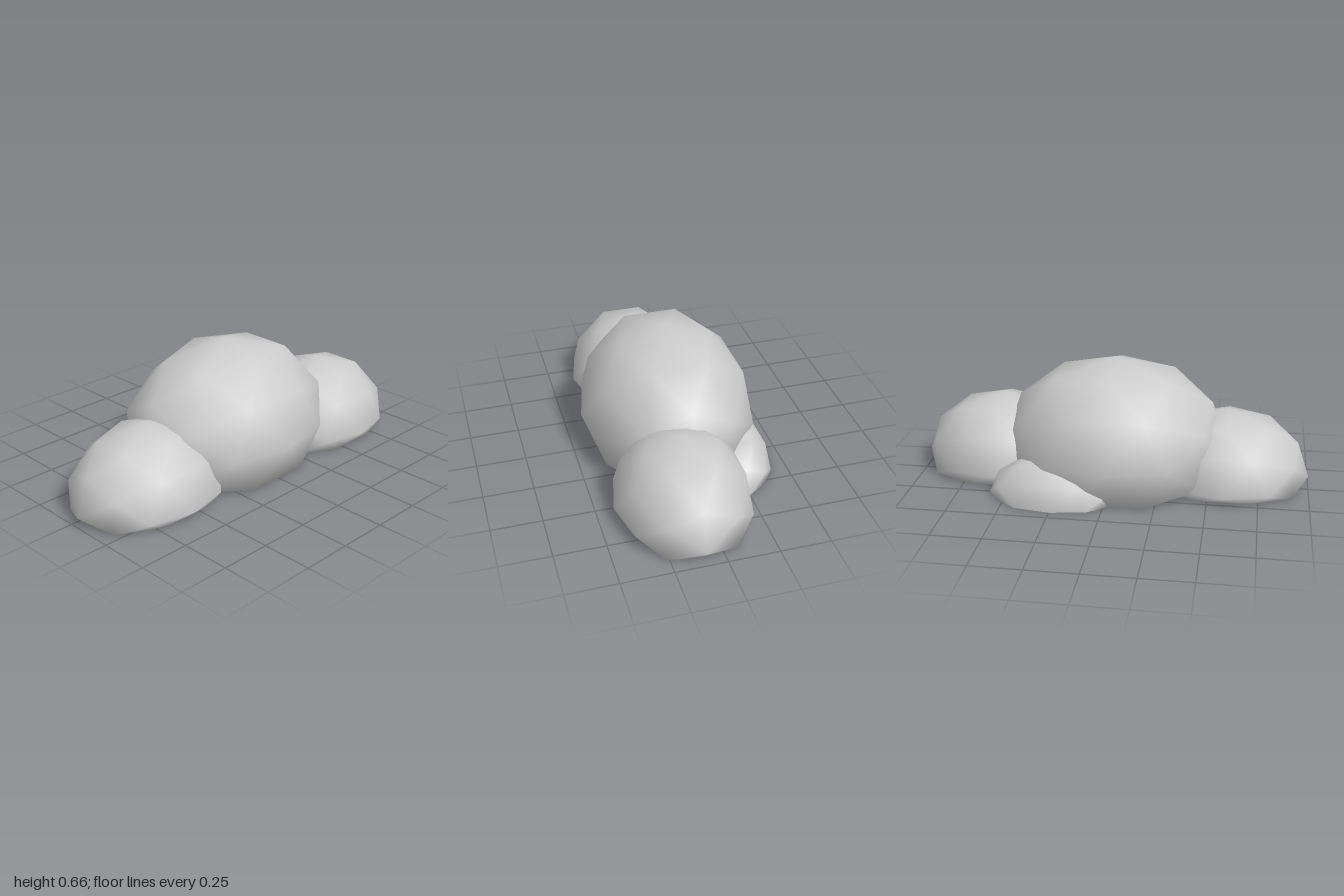
import * as THREE from 'three';
import { mergeVertices } from 'three/addons/utils/BufferGeometryUtils.js';

// Smooth low-poly boulder: a stretched icosphere whose underside is pressed flat on the ground
function boulder(name, [x, y, z], [rx, ry, rz], material) {
  let geometry = new THREE.IcosahedronGeometry(1, 1);
  geometry.deleteAttribute('uv');
  geometry.deleteAttribute('normal');
  geometry = mergeVertices(geometry, 1e-3);
  geometry.rotateY(Math.PI / 2);
  geometry.scale(rx, ry, rz);
  geometry.translate(x, y, z);

  const position = geometry.attributes.position;
  for (let i = 0; i < position.count; i++) {
    position.setY(i, Math.max(0, position.getY(i)));
  }
  geometry.computeVertexNormals();

  const mesh = new THREE.Mesh(geometry, material);
  mesh.name = name;
  return mesh;
}

export function createModel() {
  const group = new THREE.Group();
  group.name = 'boulderCluster';
  const stone = new THREE.MeshStandardMaterial({ color: 0xcccccc });

  // name, centre, radii
  const boulders = [
    ['mainBoulder', [-0.015, 0.2, 0.01], [0.575, 0.46, 0.44]],
    ['leftBoulder', [0.585, 0.07, 0.095], [0.415, 0.347, 0.333]],
    ['rightBoulder', [-0.585, 0.05, 0.05], [0.415, 0.347, 0.333]],
    ['smallBackBoulder', [0.25, 0, -0.25], [0.34, 0.225, 0.197]],
  ];
  for (const [name, centre, radii] of boulders) {
    group.add(boulder(name, centre, radii, stone));
  }
  return group;
}
